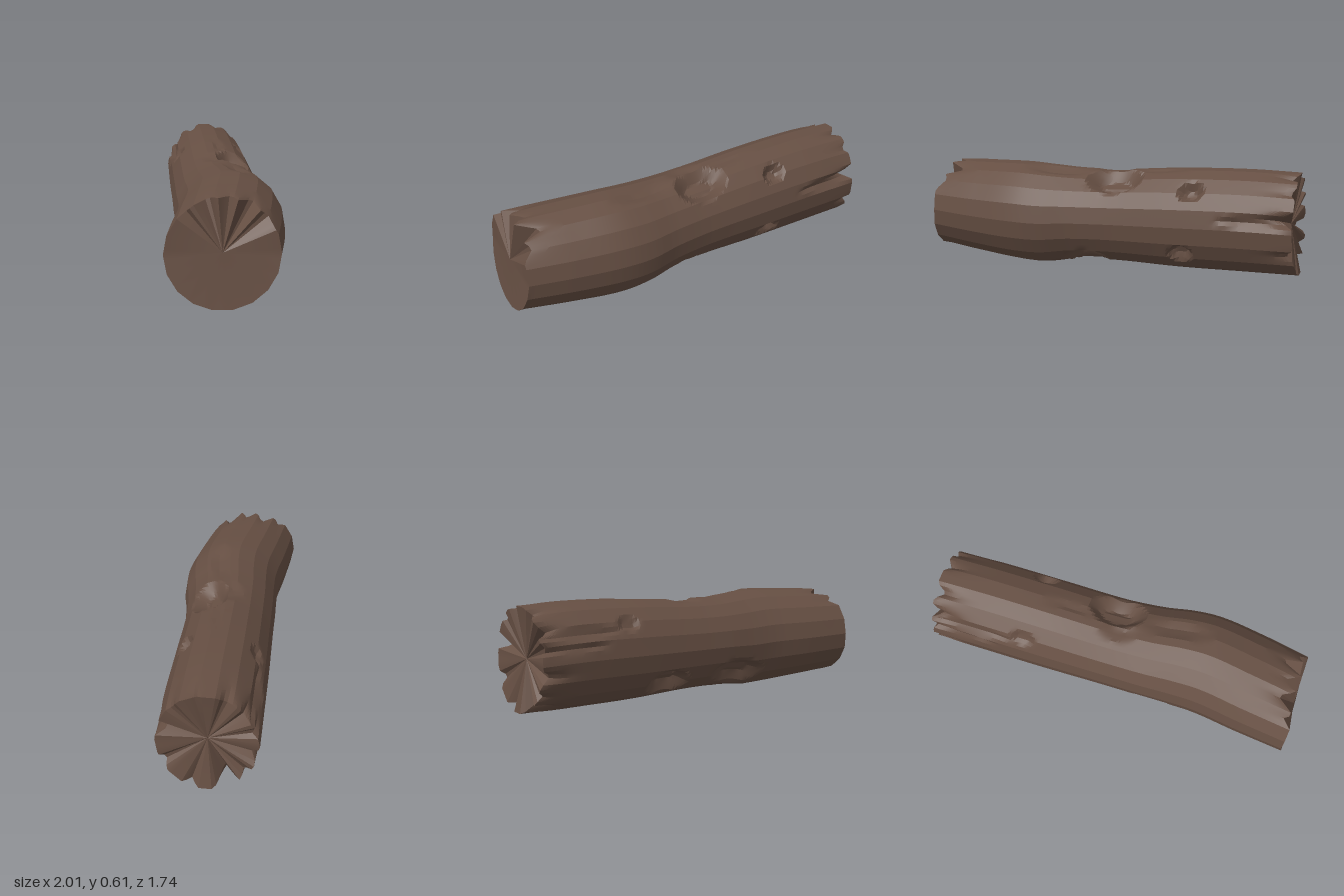
import * as THREE from 'three';
import { toCreasedNormals } from 'three/addons/utils/BufferGeometryUtils.js';

const RINGS = 120, COLS = 72, FACETS = 18;
const U = new THREE.Vector3(0.787, 0, -0.617); // along the log
const V = new THREE.Vector3(0.617, 0, 0.787);  // across the log

// cross-section limits: [along, side min, side max, bottom, top]
const STATIONS = [
  [-1.05, -0.28, 0.28, 0.035, 0.572],
  [-0.77, -0.25, 0.33, 0.016, 0.582],
  [-0.5, -0.217, 0.361, 0.002, 0.592],
  [-0.36, -0.216, 0.353, 0.005, 0.584],
  [-0.18, -0.223, 0.317, 0.033, 0.572],
  [0.03, -0.228, 0.292, 0.042, 0.575],
  [0.42, -0.24, 0.28, 0.038, 0.604],
  [0.8, -0.248, 0.271, 0.046, 0.619],
  [1.08, -0.253, 0.262, 0.052, 0.616],
];

// hollows: [along, angle, half length, half angle, depth, wall sharpness]
const DENTS = [
  [0.06, 65, 0.17, 27, 0.075, 2.2],   // big knot hole
  [-0.3, 78, 0.22, 12, 0.02, 1.5],    // split leading to the knot
  [0.02, 97, 0.12, 12, 0.015, 1.5],
  [0.3, 82, 0.2, 8, 0.01, 1.5],
  [0.52, 43, 0.075, 13, 0.05, 2],     // branch stub holes
  [0.47, -35, 0.075, 13, 0.045, 2],
  [-0.11, -64, 0.14, 25, 0.06, 2],    // hollows underneath
  [-0.32, -92, 0.13, 16, 0.04, 2],
  [0.26, -138, 0.15, 20, 0.06, 2],
  [-0.25, -143, 0.21, 20, 0.05, 2],
  [0.53, 142, 0.08, 10, 0.025, 2],
  [0.9, 10, 0.25, 7, 0.025, 2],       // grooves by the broken end
  [0.85, 150, 0.3, 7, 0.018, 2],
  [0.9, 165, 0.25, 6, 0.015, 2],
];

// missing wedges at each end: [angle, half angle, depth]
const TEETH_CUT = [[42, 15, 0.06], [62, 15, 0.15], [86, 13, 0.1], [108, 15, 0.12], [130, 10, 0.05]];
const TEETH_BROKEN = [
  [15, 10, 0.11], [47, 8, 0.04], [75, 9, 0.05], [113, 10, 0.08], [141, 9, 0.1], [163, 8, 0.06],
  [193, 9, 0.1], [219, 10, 0.07], [246, 17, 0.16], [290, 9, 0.05], [332, 9, 0.06],
];

const clamp = THREE.MathUtils.clamp;
const angleGap = (a, b) => Math.abs(((a - b + 540) % 360 + 360) % 360 - 180);
const notch = (list, deg) => list.reduce(
  (most, [a, half, depth]) => Math.max(most, depth * (1 - angleGap(deg, a) / half)), 0);

// smooth interpolation between stations
const curves = [1, 2, 3, 4].map((k) =>
  new THREE.CatmullRomCurve3(STATIONS.map((r) => new THREE.Vector3(r[0], r[k], 0))));
function section(s) {
  let i = 0;
  while (i < STATIONS.length - 2 && s > STATIONS[i + 1][0]) i++;
  const f = clamp((s - STATIONS[i][0]) / (STATIONS[i + 1][0] - STATIONS[i][0]), 0, 1);
  return curves.map((c) => c.getPoint((i + f) / (STATIONS.length - 1)).y);
}

function dentDepth(s, deg) {
  return DENTS.reduce((most, [ds, da, len, wid, depth, sharp]) => {
    const d = Math.hypot((s - ds) / len, angleGap(deg, da) / wid);
    return Math.max(most, depth * clamp((1 - d) * sharp, 0, 1));
  }, 0);
}

function place(s, w, y) {
  return new THREE.Vector3(0, y, 0).addScaledVector(U, s).addScaledVector(V, w);
}

function barkPoint(s0, deg) {
  const a = deg * Math.PI / 180;
  // lean both ends outward at the bottom and pull the rims in to leave jagged teeth
  const nearA = clamp(1 - (s0 + 1.05) / 0.35, 0, 1);
  const nearB = clamp(1 - (1.08 - s0) / 0.4, 0, 1);
  const cutA = notch(TEETH_CUT, deg), cutB = notch(TEETH_BROKEN, deg);
  const lean = Math.max(-Math.sin(a), 0);
  const s = s0 + (cutA - 0.035 * lean) * nearA - (0.7 * cutB - 0.02 * lean) * nearB;
  const [w0, w1, y0, y1] = section(s);
  // faceted round section
  const step = 360 / FACETS;
  const local = (((deg + step / 2) % step) - step / 2) * Math.PI / 180;
  let r = 1.008 * Math.cos(Math.PI / FACETS) / Math.cos(Math.PI / FACETS - Math.abs(local));
  r -= dentDepth(s, deg) / 0.27;
  r -= 1.6 * cutB * nearB ** 5 + 0.4 * cutA * nearA ** 4;
  return place(s, (w0 + w1) / 2 + r * Math.cos(a) * (w1 - w0) / 2,
    (y0 + y1) / 2 + r * Math.sin(a) * (y1 - y0) / 2);
}

function meshFrom(points, index, name, material) {
  const geo = new THREE.BufferGeometry().setFromPoints(points);
  geo.setIndex(index);
  const mesh = new THREE.Mesh(toCreasedNormals(geo, 0.3), material);
  mesh.name = name;
  return mesh;
}

export function createModel() {
  const group = new THREE.Group();
  group.name = 'log';
  const wood = new THREE.MeshStandardMaterial({ color: 0x664f43 });

  // bark: rings lofted along the log
  const points = [], index = [];
  for (let i = 0; i <= RINGS; i++) {
    for (let j = 0; j < COLS; j++) {
      points.push(barkPoint(-1.05 + 2.13 * i / RINGS, j * 360 / COLS));
    }
  }
  for (let i = 0; i < RINGS; i++) {
    for (let j = 0; j < COLS; j++) {
      const k = (j + 1) % COLS, a = i * COLS + j, d = i * COLS + k;
      index.push(a, a + COLS, d + COLS, a, d + COLS, d);
    }
  }
  group.add(meshFrom(points, index, 'bark', wood));

  // end faces: fans from a centre point to each rim
  const addEnd = (name, rim, centre, flip) => {
    const fan = [];
    for (let j = 0; j < COLS; j++) {
      const k = (j + 1) % COLS;
      fan.push(COLS, flip ? k : j, flip ? j : k);
    }
    group.add(meshFrom([...rim, centre], fan, name, wood));
  };
  addEnd('cutEnd', points.slice(0, COLS), place(-1.05, 0, 0.31), false);
  addEnd('brokenEnd', points.slice(-COLS), place(1.04, 0.007, 0.335), true);
  return group;
}
